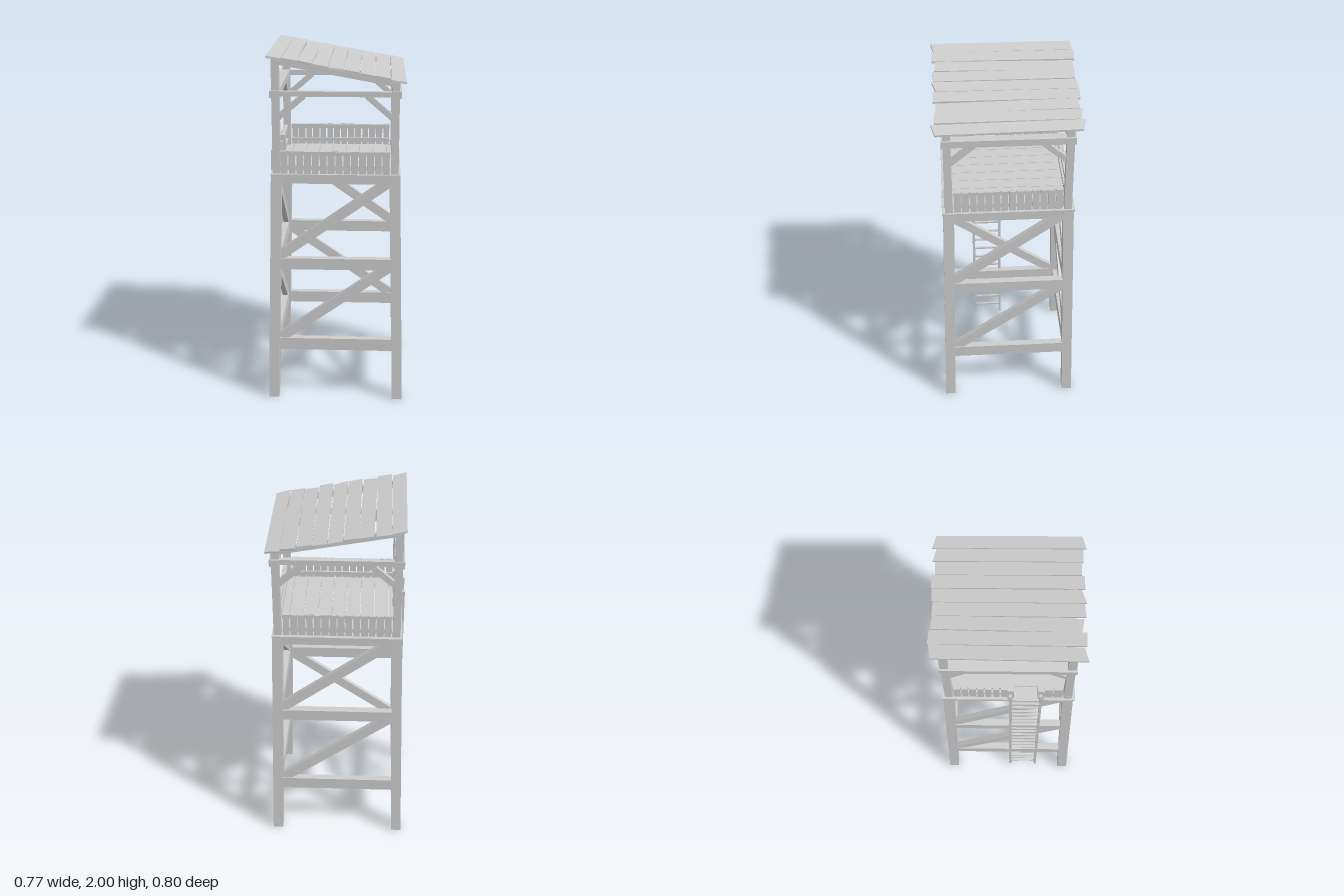
import * as THREE from 'three';

const wood = new THREE.MeshStandardMaterial({ color: 0xcccccc, flatShading: true });
const V = (x, y, z) => new THREE.Vector3(x, y, z);

// Small seeded generator for uneven boards
let seed = 7;
const rnd = () => (seed = (seed * 16807) % 2147483647) / 2147483647;

function box(parent, name, w, h, d, x, y, z) {
  const m = new THREE.Mesh(new THREE.BoxGeometry(w, h, d), wood);
  m.name = name;
  m.position.set(x, y, z);
  parent.add(m);
  return m;
}

// Timber running from a to b, h tall and d thick
function bar(parent, name, a, b, h, d) {
  const m = new THREE.Mesh(new THREE.BoxGeometry(d, h, a.distanceTo(b)), wood);
  m.name = name;
  m.position.copy(a).add(b).multiplyScalar(0.5);
  m.lookAt(b);
  parent.add(m);
}

// Board whose corners are placed by a rule on the signs of x, y, z
function warped(parent, name, rule) {
  const g = new THREE.BoxGeometry(1, 1, 1);
  const p = g.attributes.position;
  for (let i = 0; i < p.count; i++) p.setXYZ(i, ...rule(Math.sign(p.getX(i)), Math.sign(p.getY(i)), Math.sign(p.getZ(i))));
  g.computeVertexNormals();
  const m = new THREE.Mesh(g, wood);
  m.name = name;
  parent.add(m);
}

const FLOOR = 1.335;
const POST = 0.323;
const legAt = (y) => 0.358 - 0.033 * (y / FLOOR); // leg centre at height y
const roofY = (x) => 1.932 - 0.181 * x;

// One face of the lower frame, built facing +z
function frameSide() {
  const g = new THREE.Group();
  g.name = 'frameSide';
  for (const [y, h] of [[0.335, 0.07], [0.822, 0.065], [1.312, 0.046]]) {
    box(g, 'crossBeam', 2 * legAt(y) - 0.04, h, 0.04, 0, y, legAt(y));
  }
  for (const [y0, y1] of [[0.37, 0.81], [0.865, 1.31]]) {
    bar(g, 'diagonalBrace', V(-0.315, y0, legAt(y0)), V(0.31, y1, legAt(y1)), 0.055, 0.03);
  }
  // Knee braces under the upper beam
  for (const s of [-1, 1]) bar(g, 'kneeBrace', V(s * 0.315, 1.65, POST), V(s * 0.17, 1.775, POST), 0.032, 0.025);
  return g;
}

// Vertical boards with inner rails between u0 and u1, built facing +z
function railing(parent, u0, u1, z) {
  const n = Math.round((u1 - u0) / 0.043);
  const step = (u1 - u0) / n;
  for (let i = 0; i < n; i++) {
    const top = 1.472 - rnd() * 0.003;
    const m = box(parent, 'railBoard', step - 0.003 - rnd() * 0.006, top - 1.345, 0.01,
      u0 + step * (i + 0.5), (top + 1.345) / 2, z);
    m.rotation.z = (rnd() - 0.5) * 0.03;
  }
  for (const y of [1.375, 1.458]) box(parent, 'rail', u1 - u0, 0.024, 0.014, (u0 + u1) / 2, y, z - 0.012);
}

export function createModel() {
  const tower = new THREE.Group();
  tower.name = 'watchtower';

  // Leaning legs and upright roof posts
  for (const sx of [-1, 1]) for (const sz of [-1, 1]) {
    warped(tower, 'leg', (x, y, z) => {
      const h = y > 0 ? FLOOR : 0;
      return [sx * legAt(h) + x * 0.029, h, sz * legAt(h) + z * 0.029];
    });
    warped(tower, 'roofPost', (x, y, z) => {
      const px = sx * POST + x * 0.021;
      return [px, y > 0 ? roofY(px) - 0.012 : FLOOR, sz * POST + z * 0.021];
    });
  }

  // Four faces, each turned a quarter from the last
  const rails = [
    [[-0.345, 0.297, 0.343]], // front
    [[-0.297, 0.297, 0.335]], // left
    [[-0.297, 0.297, 0.335]], // back
    [[-0.297, 0.0, 0.335], [0.195, 0.297, 0.335]], // ladder side with opening
  ];
  rails.forEach((runs, i) => {
    const side = frameSide();
    runs.forEach((r) => railing(side, ...r));
    side.rotation.y = i * Math.PI / 2;
    tower.add(side);
  });

  // Floor boards
  for (let i = 0; i < 9; i++) {
    const w = 0.714 / 9;
    box(tower, 'floorBoard', w - 0.003, 0.012, 0.72 + rnd() * 0.01, -0.357 + w * (i + 0.5), 1.34, 0);
  }

  // Upper beams around the posts
  for (const s of [-1, 1]) {
    box(tower, 'upperSideBeam', 0.052, 0.038, 0.704, s * 0.328, 1.785, 0);
    box(tower, 'upperCrossBeam', 0.66, 0.028, 0.03, 0, 1.785, s * POST);
  }

  // Sloping rafters
  for (const s of [-1, 1]) {
    warped(tower, 'rafter', (x, y, z) => [x * 0.335, roofY(x * 0.335) - (y > 0 ? 0.01 : 0.046), s * POST + z * 0.016]);
  }

  // Roof boards: centre x at back and front, then z of back and front corners
  const roof = [
    [-0.32, -0.327, -0.382, -0.392, 0.394, 0.375],
    [-0.24, -0.243, -0.398, -0.392, 0.388, 0.388],
    [-0.152, -0.165, -0.384, -0.381, 0.365, 0.377],
    [-0.076, -0.077, -0.384, -0.381, 0.388, 0.381],
    [0.006, 0.005, -0.386, -0.392, 0.392, 0.369],
    [0.088, 0.089, -0.394, -0.392, 0.386, 0.386],
    [0.167, 0.175, -0.377, -0.381, 0.371, 0.375],
    [0.251, 0.254, -0.394, -0.375, 0.381, 0.383],
    [0.332, 0.339, -0.4, -0.381, 0.399, 0.381],
  ];
  roof.forEach(([xb, xf, bl, br, fl, fr], i) => {
    const tilt = (rnd() - 0.5) * 0.008;
    warped(tower, 'roofBoard', (x, y, z) => {
      const px = (z < 0 ? xb : xf) + x * 0.039;
      const pz = z < 0 ? (x < 0 ? bl : br) : (x < 0 ? fl : fr);
      return [px, roofY(px) + (y > 0 ? 0 : -0.011) + (i % 2) * 0.002 + z * tilt * 0.5, pz];
    });
  });

  // Ladder and the posts beside its opening
  const ladder = new THREE.Group();
  ladder.name = 'ladder';
  for (const z of [0.014, 0.177]) {
    box(ladder, 'ladderRail', 0.018, 1.435, 0.015, -0.361, 0.7175, z);
    box(tower, 'openingPost', 0.05, 0.145, 0.034, -0.328, 1.4125, z);
  }
  for (let i = 0; i < 20; i++) box(ladder, 'rung', 0.012, 0.01, 0.16, -0.361, 0.064 + i * 0.0683, 0.0955);
  tower.add(ladder);

  return tower;
}
